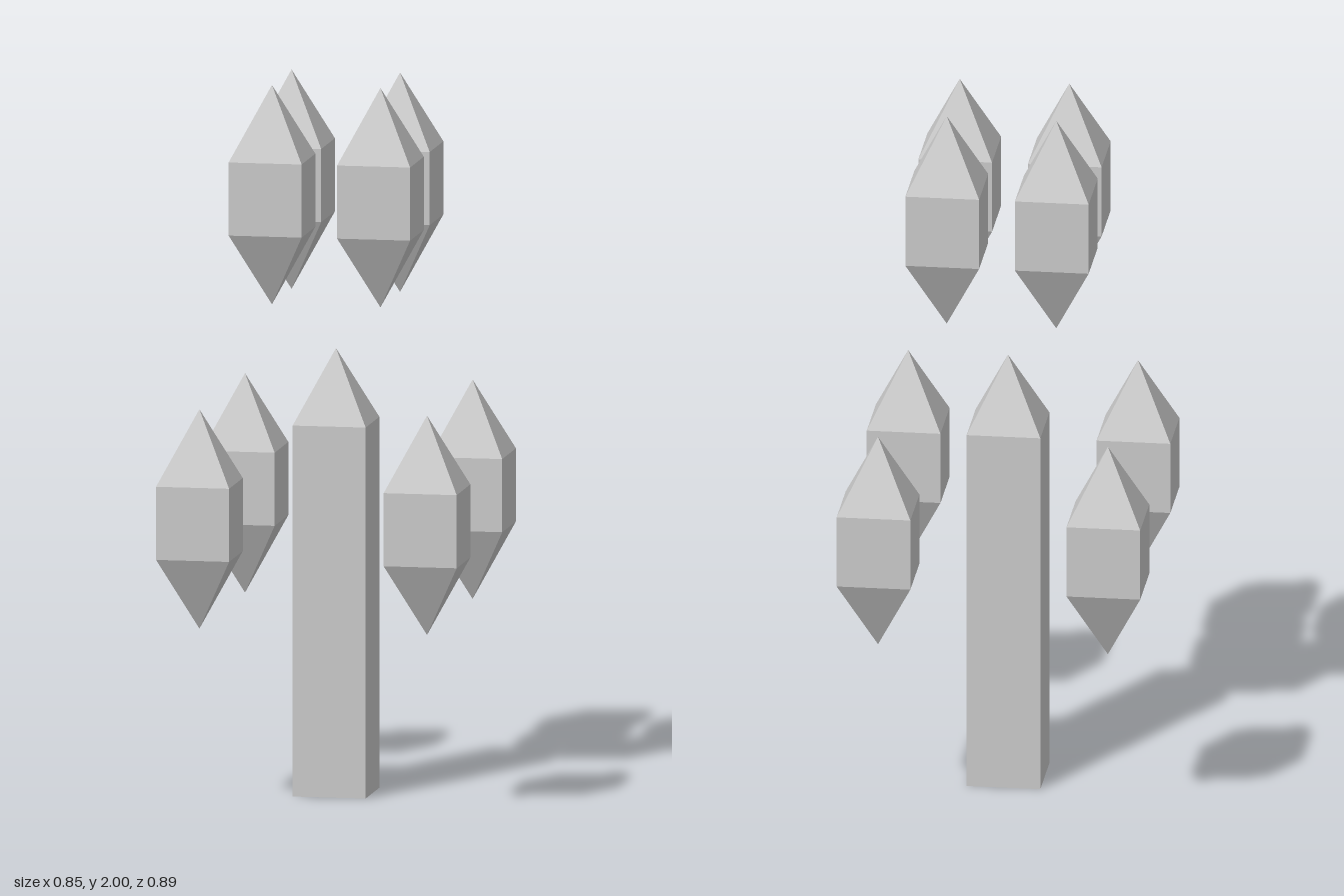
import * as THREE from 'three';

const HALF = 0.103; // half width of every square section
const TIP = 0.205;  // height of each pyramid tip

// Square-sided solid turned from a [radius, y] profile, faces square to the axes
function squareLathe(profile) {
  const points = profile.map(([r, y]) => new THREE.Vector2(r * Math.SQRT2, y));
  return new THREE.LatheGeometry(points, 4, Math.PI / 4);
}

export function createModel() {
  const group = new THREE.Group();
  const material = new THREE.MeshStandardMaterial({ color: 0xcccccc, flatShading: true });

  const add = (name, geometry, x, y, z) => {
    const mesh = new THREE.Mesh(geometry, material);
    mesh.name = name;
    mesh.position.set(x, y, z);
    group.add(mesh);
  };

  // Central pillar with a flat base and a pointed top
  add('pillar', squareLathe([[0, 0], [HALF, 0], [HALF, 1.04], [0, 1.04 + TIP]]), 0, 0, 0);

  // Floating crystals, pointed at both ends, in two rings of four
  const crystal = squareLathe([[0, 0], [HALF, TIP], [HALF, 2 * TIP], [0, 3 * TIP]]);
  const rings = [
    { name: 'lowerCrystal', x: 0.321, y: 0.5, z: 0.342 },
    { name: 'upperCrystal', x: 0.153, y: 1.385, z: 0.147 },
  ];
  for (const { name, x, y, z } of rings) {
    for (const sx of [1, -1]) {
      for (const sz of [1, -1]) {
        const label = name + (sz > 0 ? 'Front' : 'Back') + (sx > 0 ? 'Left' : 'Right');
        add(label, crystal, sx * x, y, sz * z);
      }
    }
  }
  return group;
}
